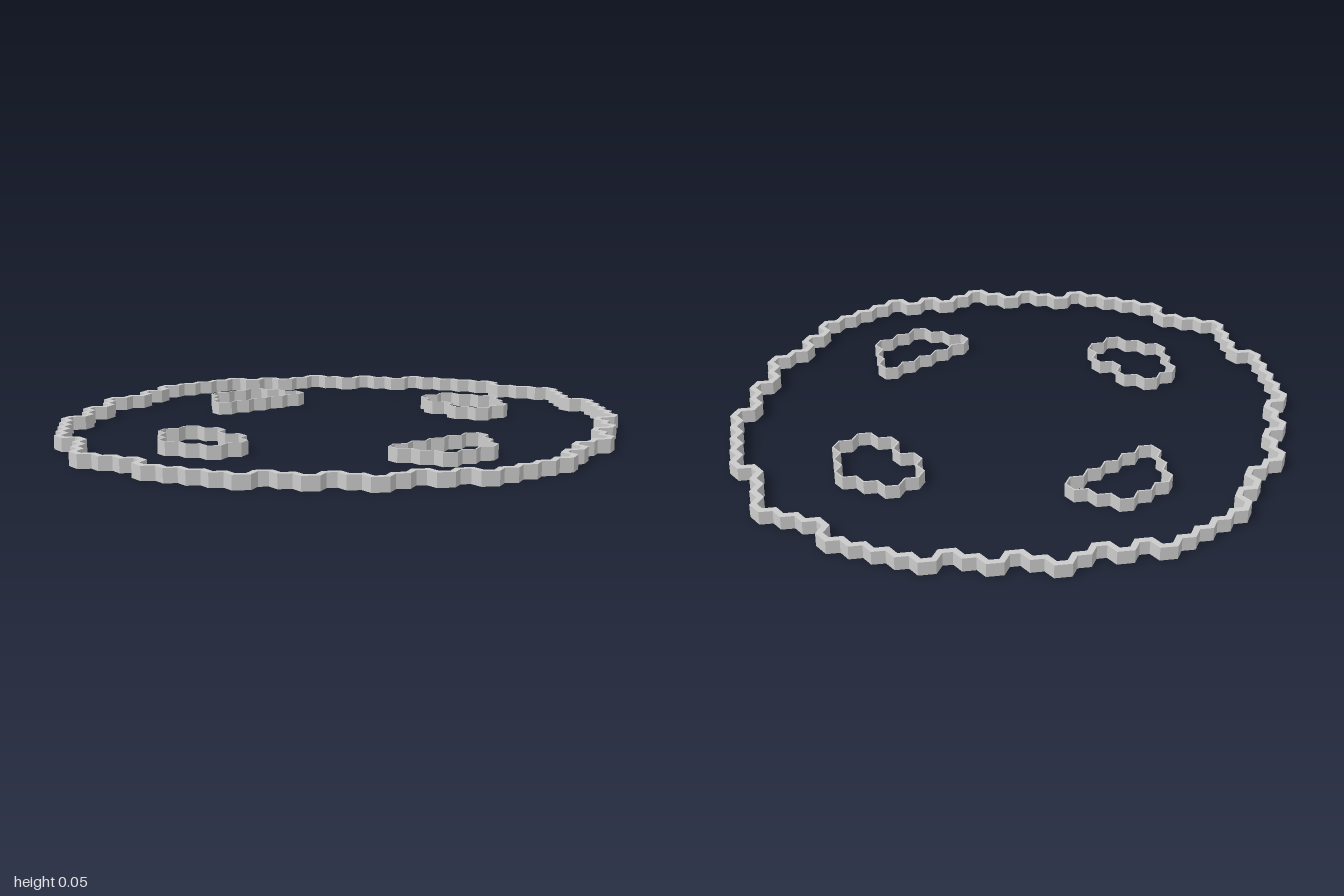
import * as THREE from 'three';

const ROW = 0.99 / 27;            // half the height of one hexagonal cell
const SIDE = ROW * 2 / Math.sqrt(3);
const COL = SIDE * 1.5;           // spacing of cell columns
const HEIGHT = 0.045;

// Outline of a patch of hexagonal cells, clockwise, from the top and bottom
// row level of each column, starting at column number `first`
function outline(first, top, bottom) {
  const pts = [];
  // zigzag down (or up) a column's side, between two levels
  const zigzag = (x, dx, from, to) => {
    const dir = Math.sign(to - from);
    for (let l = from + dir, i = 1; l !== to; l += dir, i++) pts.push([x + (i % 2 ? dx : 0), l * ROW]);
  };
  const run = (levels, start, dir) => levels.forEach((level, i) => {
    const x = (start + dir * i) * COL, half = dir * SIDE / 2;
    pts.push([x - half, level * ROW], [x + half, level * ROW]);
    if (i + 1 < levels.length) zigzag(x + half, half, level, levels[i + 1]);
  });
  const n = top.length, last = first + n - 1;
  run(top, first, 1);
  zigzag(last * COL + SIDE / 2, SIDE / 2, top[n - 1], bottom[n - 1]);
  run([...bottom].reverse(), last, -1);
  zigzag(first * COL - SIDE / 2, -SIDE / 2, bottom[0], top[0]);
  return pts.map(([x, y]) => new THREE.Vector2(x, y));
}

// Move a clockwise closed outline outward by d, with mitred corners
function offset(pts, d) {
  return pts.map((p, i) => {
    const a = p.clone().sub(pts[(i + pts.length - 1) % pts.length]).normalize();
    const b = pts[(i + 1) % pts.length].clone().sub(p).normalize();
    const n1 = new THREE.Vector2(-a.y, a.x), n2 = new THREE.Vector2(-b.y, b.x);
    return n1.clone().add(n2).multiplyScalar(d / (1 + n1.dot(n2))).add(p);
  });
}

// Upright wall following an outline
function wall(name, pts, thickness, material) {
  const shape = new THREE.Shape(offset(pts, thickness / 2));
  shape.holes.push(new THREE.Path(offset(pts, -thickness / 2)));
  const geometry = new THREE.ExtrudeGeometry(shape, { depth: HEIGHT, bevelEnabled: false });
  geometry.rotateX(-Math.PI / 2);
  const mesh = new THREE.Mesh(geometry, material);
  mesh.name = name;
  return mesh;
}

export function createModel() {
  const group = new THREE.Group();
  group.name = 'honeycombBorder';
  const material = new THREE.MeshStandardMaterial({ color: 0xcccccc, side: THREE.DoubleSide });
  const negate = (levels) => levels.map((l) => -l);

  // Outer rim, mirrored from one quarter
  const quarter = [27, 26, 25, 24, 25, 24, 23, 22, 21, 18, 17, 14, 13, 8, 5];
  const rim = [...quarter.slice(1).reverse(), ...quarter];
  group.add(wall('outerRim', outline(-14, rim, negate(rim)), 0.02, material));

  // Back and front openings
  const far = [17, 18, 19, 18, 17], near = [13, 12, 13, 12, 13];
  group.add(wall('backOpening', outline(-2, far, near), 0.005, material));
  group.add(wall('frontOpening', outline(-2, negate(near), negate(far)), 0.005, material));

  // Side openings
  const left = [5, 4, 3], right = [3, 4, 5];
  group.add(wall('leftOpening', outline(8, left, negate(left)), 0.005, material));
  group.add(wall('rightOpening', outline(-10, right, negate(right)), 0.005, material));
  return group;
}
